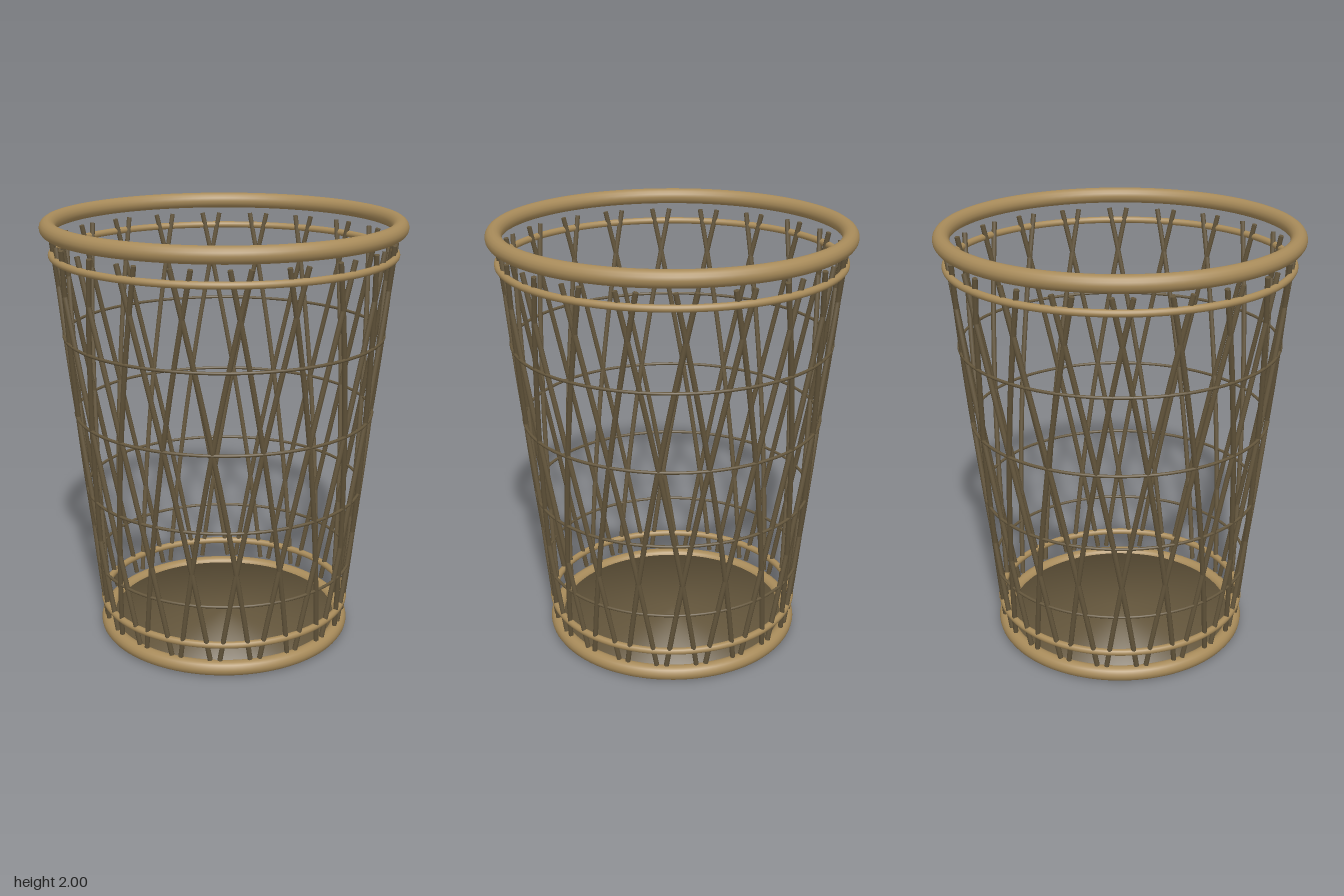
import * as THREE from 'three';
import { mergeGeometries } from 'three/addons/utils/BufferGeometryUtils.js';

const DEG = Math.PI / 180;
const STRANDS = 20; // in each direction

// One leaning strand, wound round the tapered wall, with flat ends
function strandGeometry(midAngle, direction) {
  const points = [];
  for (let i = 0; i <= 8; i++) {
    const t = i / 8;
    const angle = midAngle + direction * THREE.MathUtils.lerp(-15.8, 12.2, t) * DEG;
    const r = THREE.MathUtils.lerp(0.58, 0.772, t);
    points.push(new THREE.Vector3(r * Math.sin(angle), 0.08 + 1.82 * t, r * Math.cos(angle)));
  }
  const curve = new THREE.CatmullRomCurve3(points);
  const parts = [new THREE.TubeGeometry(curve, 20, 0.012, 8)];
  for (const end of [0, 1]) {
    const outward = curve.getTangent(end).multiplyScalar(end ? 1 : -1);
    const cap = new THREE.CircleGeometry(0.012, 8);
    cap.applyQuaternion(new THREE.Quaternion().setFromUnitVectors(new THREE.Vector3(0, 0, 1), outward));
    const p = curve.getPoint(end);
    cap.translate(p.x, p.y, p.z);
    parts.push(cap);
  }
  return mergeGeometries(parts);
}

// Thin floor disc with normals blended softly over its edge
function floorGeometry(radius, thickness) {
  const geometry = new THREE.CylinderGeometry(radius, radius, thickness, 64);
  const { position, normal } = geometry.attributes;
  const n = new THREE.Vector3();
  for (let i = 0; i < position.count; i++) {
    n.set(position.getX(i) / radius, Math.sign(position.getY(i)), position.getZ(i) / radius).normalize();
    normal.setXYZ(i, n.x, n.y, n.z);
  }
  return geometry;
}

export function createModel() {
  const basket = new THREE.Group();
  basket.name = 'basket';

  const tan = new THREE.MeshStandardMaterial({ color: 0xa88b5a });
  tan.name = 'tan cane';
  const brown = new THREE.MeshStandardMaterial({ color: 0x64563c });
  brown.name = 'dark brown cane';

  const add = (name, geometry, material, y = 0) => {
    const mesh = new THREE.Mesh(geometry, material);
    mesh.name = name;
    mesh.position.y = y;
    basket.add(mesh);
  };
  const addRing = (name, radius, tube, y, material) =>
    add(name, new THREE.TorusGeometry(radius, tube, 16, 96).rotateX(Math.PI / 2), material, y);

  // Thick rim and base, with a slimmer binding next to each
  addRing('topRim', 0.788, 0.0375, 1.9625, tan);
  addRing('upperBinding', 0.775, 0.016, 1.84, tan);
  addRing('lowerBinding', 0.588, 0.016, 0.16, tan);
  addRing('baseRing', 0.57, 0.035, 0.035, tan);

  // Thin hoops up the wall
  for (let i = 0; i < 4; i++) {
    const y = 0.36 + 0.37 * i;
    addRing('wallHoop' + (i + 1), 0.57 + 0.112 * y, 0.007, y, brown);
  }

  // Crossing strands, leaning both ways
  for (const [name, direction] of [['leftLeaningStrands', -1], ['rightLeaningStrands', 1]]) {
    const strands = [];
    for (let i = 0; i < STRANDS; i++) {
      strands.push(strandGeometry((i / STRANDS) * Math.PI * 2, direction));
    }
    add(name, mergeGeometries(strands), brown);
  }

  // Floor
  add('floor', floorGeometry(0.56, 0.03), brown, 0.035);

  return basket;
}
